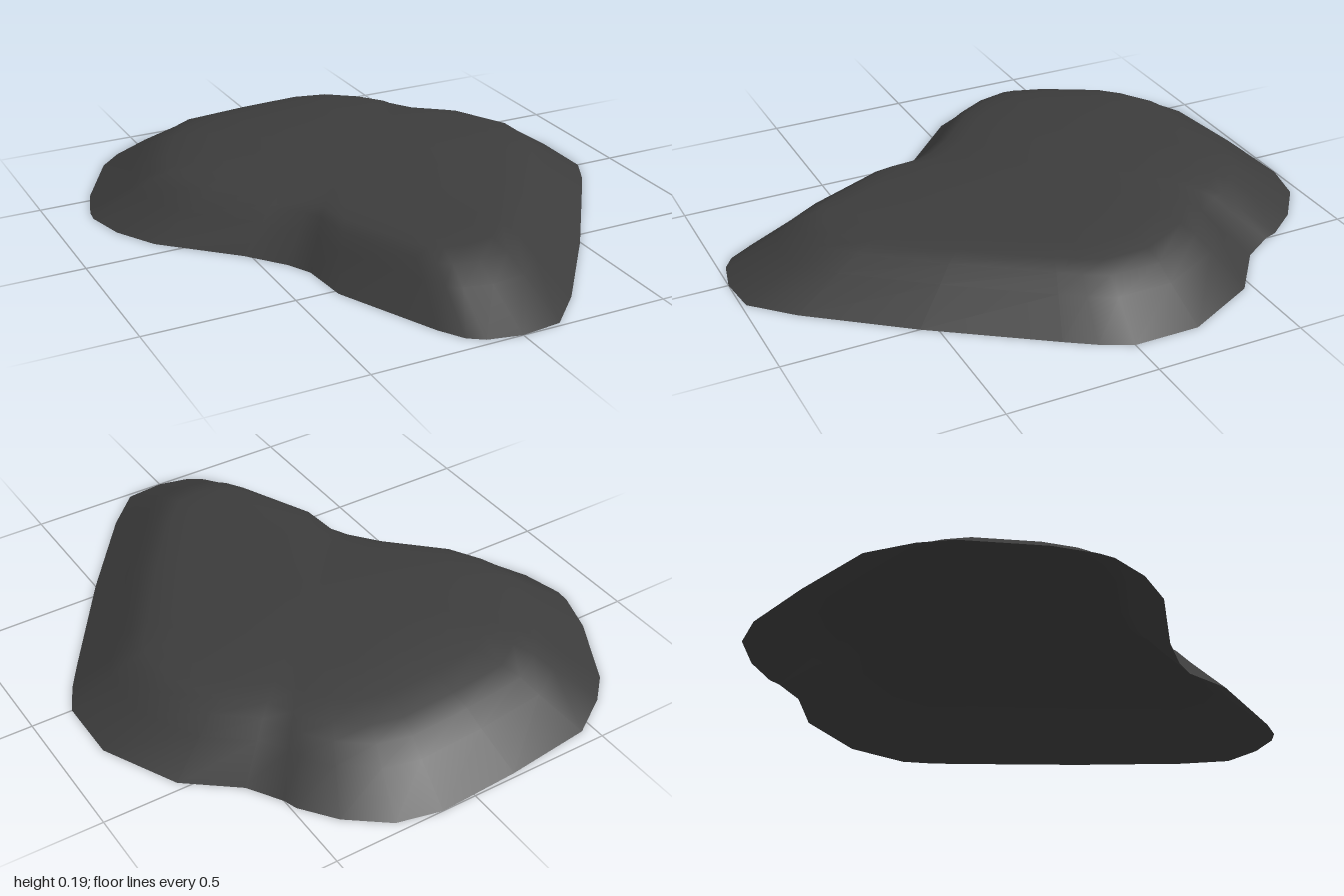
import * as THREE from 'three';

// Ground outline as x, z pairs, running back -> +x side -> front -> -x side
const OUTLINE = [
  0.12, -1, 0.27, -0.965, 0.4, -0.865, 0.485, -0.755, 0.5, -0.71, 0.57, -0.6,
  0.735, -0.47, 0.86, -0.22, 0.86, 0, 0.81, 0.1, 0.75, 0.19, 0.5, 0.55,
  0.26, 0.86, 0.135, 0.985, 0, 1, -0.11, 0.975, -0.16, 0.94, -0.21, 0.86,
  -0.365, 0.52, -0.38, 0.35, -0.42, 0.27, -0.52, 0.145, -0.745, -0.07,
  -0.825, -0.21, -0.86, -0.35, -0.855, -0.4, -0.81, -0.54, -0.68, -0.78,
  -0.6, -0.86, -0.46, -0.95, -0.16, -0.985,
];

// Rings from rim to crown: outline scale, height, rise towards the back
const RINGS = [
  [1, 0, 0], [0.84, 0.088, 0], [0.77, 0.131, 0], [0.7, 0.152, 0],
  [0.6, 0.165, 0.015], [0.42, 0.177, 0.028], [0.2, 0.184, 0.02],
];
const CENTRE = { x: 0, y: 0.187, z: -0.1 };

// Open-bottomed shell: concentric outline rings closed by a crown point
function shellGeometry() {
  const n = OUTLINE.length / 2;
  const positions = [];
  const index = [];
  RINGS.forEach(([scale, height, tilt], r) => {
    for (let i = 0; i < n; i++) {
      const x = CENTRE.x + (OUTLINE[2 * i] - CENTRE.x) * scale;
      const z = CENTRE.z + (OUTLINE[2 * i + 1] - CENTRE.z) * scale;
      positions.push(x, height - tilt * z, z);
      const a = r * n + i;
      const b = r * n + (i + 1) % n;
      if (r < RINGS.length - 1) index.push(a, a + n, b, b, a + n, b + n);
      else index.push(a, RINGS.length * n, b);
    }
  });
  positions.push(CENTRE.x, CENTRE.y, CENTRE.z);

  const geometry = new THREE.BufferGeometry();
  geometry.setAttribute('position', new THREE.Float32BufferAttribute(positions, 3));
  geometry.setIndex(index);
  geometry.computeVertexNormals();
  return geometry;
}

export function createModel() {
  const group = new THREE.Group();
  group.name = 'flatRock';
  const material = new THREE.MeshStandardMaterial({ color: 0x3c3c3c, side: THREE.DoubleSide });
  const shell = new THREE.Mesh(shellGeometry(), material);
  shell.name = 'rockShell';
  group.add(shell);
  return group;
}
